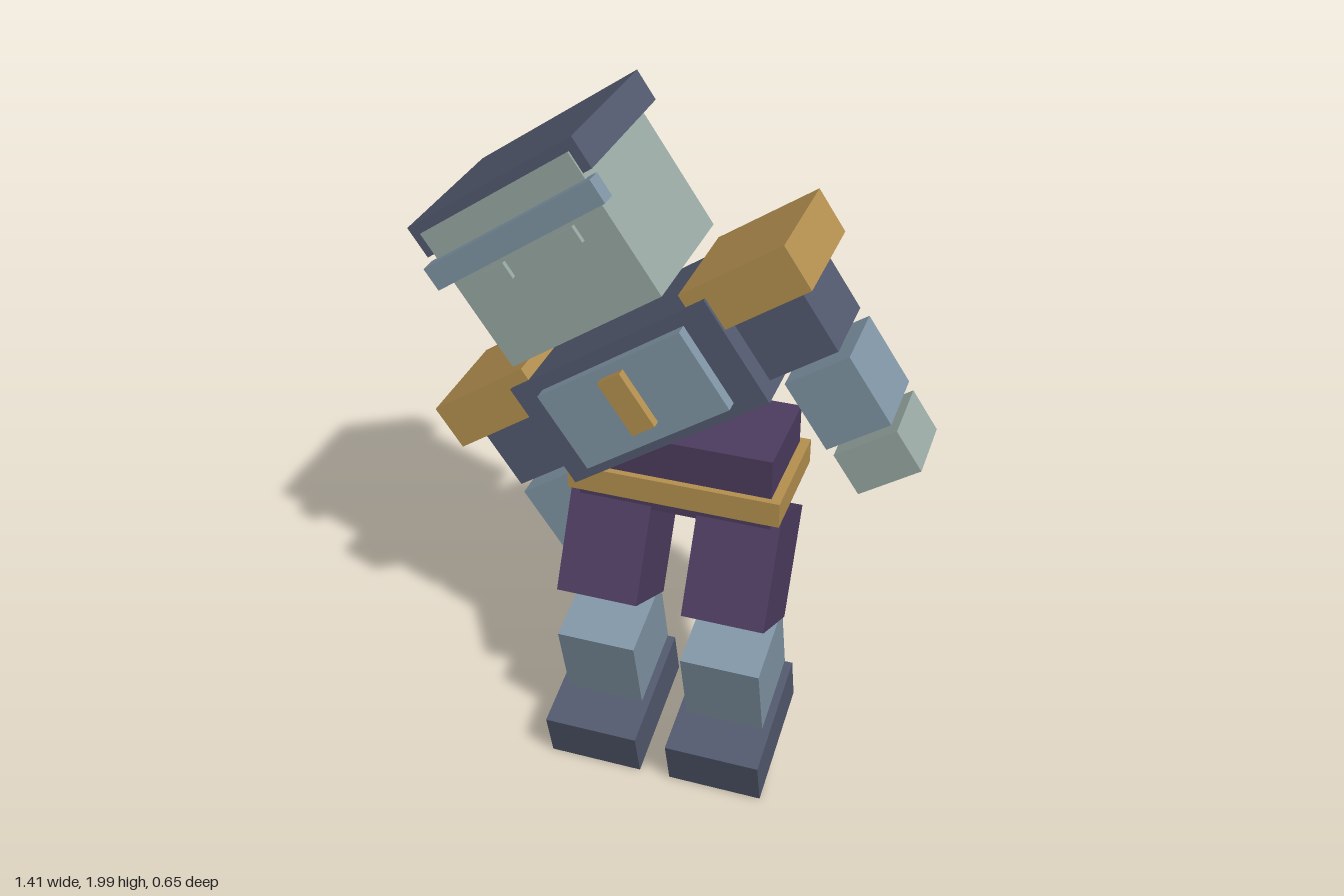
import * as THREE from 'three';

const mat = (name, color) => {
  const m = new THREE.MeshStandardMaterial({ color });
  m.name = name;
  return m;
};

export function createModel() {
  const navy = mat('navy', 0x535a6f);
  const steel = mat('steel blue', 0x8196a6);
  const skin = mat('pale grey green', 0x99a9a4);
  const gold = mat('gold', 0xb69150);
  const purple = mat('purple', 0x4d3c5f);

  const model = new THREE.Group();
  model.name = 'blockFigure';

  // Adds a box of the given size at a centre, optionally pitched about x
  const box = (parent, name, material, size, pos, pitch = 0) => {
    const mesh = new THREE.Mesh(new THREE.BoxGeometry(...size), material);
    mesh.name = name;
    mesh.position.set(...pos);
    mesh.rotation.x = pitch;
    parent.add(mesh);
  };

  // Upper body leans to its right as one piece
  const upper = new THREE.Group();
  upper.name = 'upperBody';
  upper.position.set(-0.074, 1.257, 0);
  upper.rotation.z = 0.592;
  model.add(upper);

  const z = -0.057;
  box(upper, 'torso', navy, [0.68, 0.332, 0.38], [0, 0, z]);
  box(upper, 'chestPlate', steel, [0.496, 0.253, 0.06], [0, 0, 0.141]);
  box(upper, 'chestBadge', gold, [0.077, 0.177, 0.04], [0, 0.01, 0.179]);

  // Head, cap and brow band
  box(upper, 'head', skin, [0.522, 0.438, 0.447], [0, 0.451, z]);
  box(upper, 'cap', navy, [0.58, 0.095, 0.485], [0, 0.652, -0.083]);
  box(upper, 'browBand', steel, [0.584, 0.07, 0.05], [0, 0.555, 0.177]);

  for (const [side, s] of [['left', 1], ['right', -1]]) {
    box(upper, side + 'Eye', skin, [0.076, 0.05, 0.03], [s * 0.121, 0.478, 0.166]);

    // Arms
    box(upper, side + 'ShoulderPad', gold, [0.335, 0.138, 0.357], [s * 0.444, 0.135, z]);
    box(upper, side + 'UpperArm', navy, [0.217, 0.262, 0.25], [s * 0.45, 0, z]);
    box(upper, side + 'Forearm', steel, [0.205, 0.222, 0.234], [s * 0.471, -0.271, z]);
    box(upper, side + 'Hand', skin, [0.2, 0.135, 0.219], [s * 0.474, -0.476, z]);

    // Legs, bent at the knee
    const x = 0.021 + s * 0.191;
    box(model, side + 'Thigh', purple, [0.246, 0.342, 0.277], [x, 0.695, 0.034], -0.493);
    box(model, side + 'Shin', steel, [0.238, 0.27, 0.257], [x, 0.357, 0.098], 0.25);
    box(model, side + 'Boot', navy, [0.287, 0.164, 0.393], [x, 0.133, 0.114], 0.25);
  }

  // Hips and belt
  box(model, 'hips', purple, [0.572, 0.239, 0.308], [0.021, 0.978, z]);
  box(model, 'belt', gold, [0.63, 0.078, 0.347], [0.021, 0.936, z]);

  return model;
}
